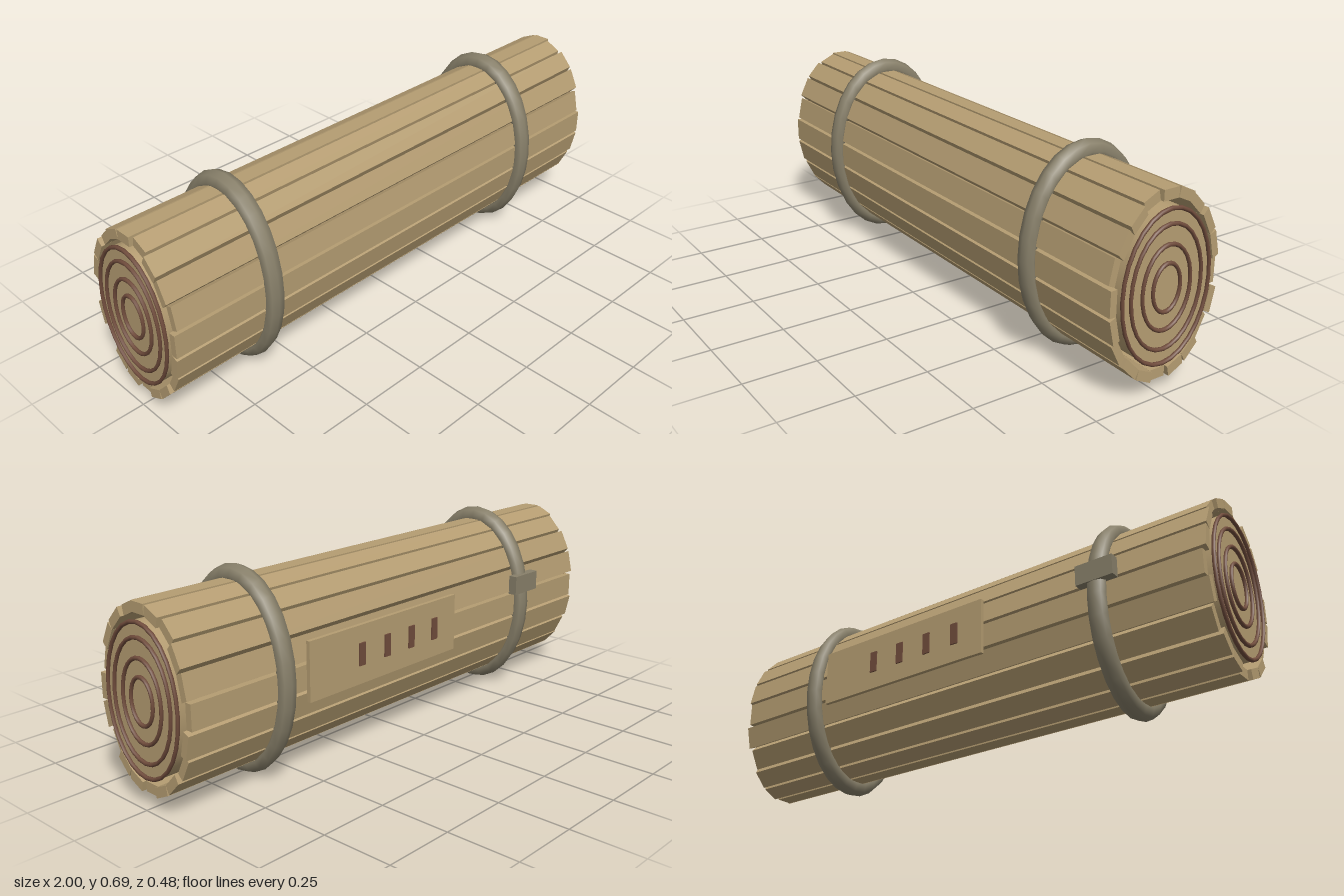
import * as THREE from 'three';

const CENTER_Y = 0.35; // height of the bundle's axis
const SQUASH = 0.687;  // depth of the oval relative to its height

const material = (name, color) => {
  const m = new THREE.MeshStandardMaterial({ color });
  m.name = name;
  return m;
};

export function createModel() {
  const model = new THREE.Group();
  model.name = 'slatBundle';

  const wood = material('tan wood', 0xb59d72);
  const brown = material('dark brown', 0x704c3c);
  const strapGrey = material('olive grey strap', 0x88806a);

  const add = (name, geometry, mat) => {
    const mesh = new THREE.Mesh(geometry, mat);
    mesh.name = name;
    model.add(mesh);
    return mesh;
  };
  // squash a round part around the x axis to the oval section and lift it
  const addOval = (name, geometry, mat) =>
    add(name, geometry.scale(1, 1, SQUASH).translate(0, CENTER_Y, 0), mat);
  const box = (name, size, pos, mat) =>
    add(name, new THREE.BoxGeometry(...size).translate(...pos), mat);

  // inner core with flat end faces
  addOval('core', new THREE.CylinderGeometry(0.245, 0.245, 1.974, 32).rotateZ(Math.PI / 2), wood);

  // raised rings on both ends
  for (const side of [-1, 1]) {
    for (const radius of [0.243, 0.196, 0.134, 0.076]) {
      addOval('endRing', new THREE.TorusGeometry(radius, 0.007, 8, 28)
        .rotateY(Math.PI / 2).translate(side * 0.991, 0, 0), brown);
    }
  }

  // slats around the oval, starting at the back; every third is shorter
  const SLATS = 20;
  for (let i = 0; i < SLATS; i++) {
    const length = i % 3 === 0 ? 1.95 : 1.974;
    addOval('slat', new THREE.BoxGeometry(length, 0.034, 0.084)
      .translate(0, 0.284, 0)
      .rotateX(-Math.PI / 2 + (i / SLATS) * Math.PI * 2), wood);
  }

  // straps
  for (const side of [-1, 1]) {
    addOval('strap', new THREE.TorusGeometry(0.311, 0.035, 8, 28)
      .rotateY(Math.PI / 2).translate(side * 0.615, 0, 0), strapGrey);
  }

  // strap buckle on the back
  box('buckle', [0.135, 0.07, 0.032], [-0.62, 0.43, -0.219], strapGrey);

  // back plate with a row of marks
  box('backPlate', [0.715, 0.2, 0.014], [0.178, 0.375, -0.226], wood);
  for (let i = 0; i < 4; i++) {
    box('plateMark', [0.028, 0.077, 0.008], [-0.065 + i * 0.122, 0.377, -0.234], brown);
  }

  return model;
}
